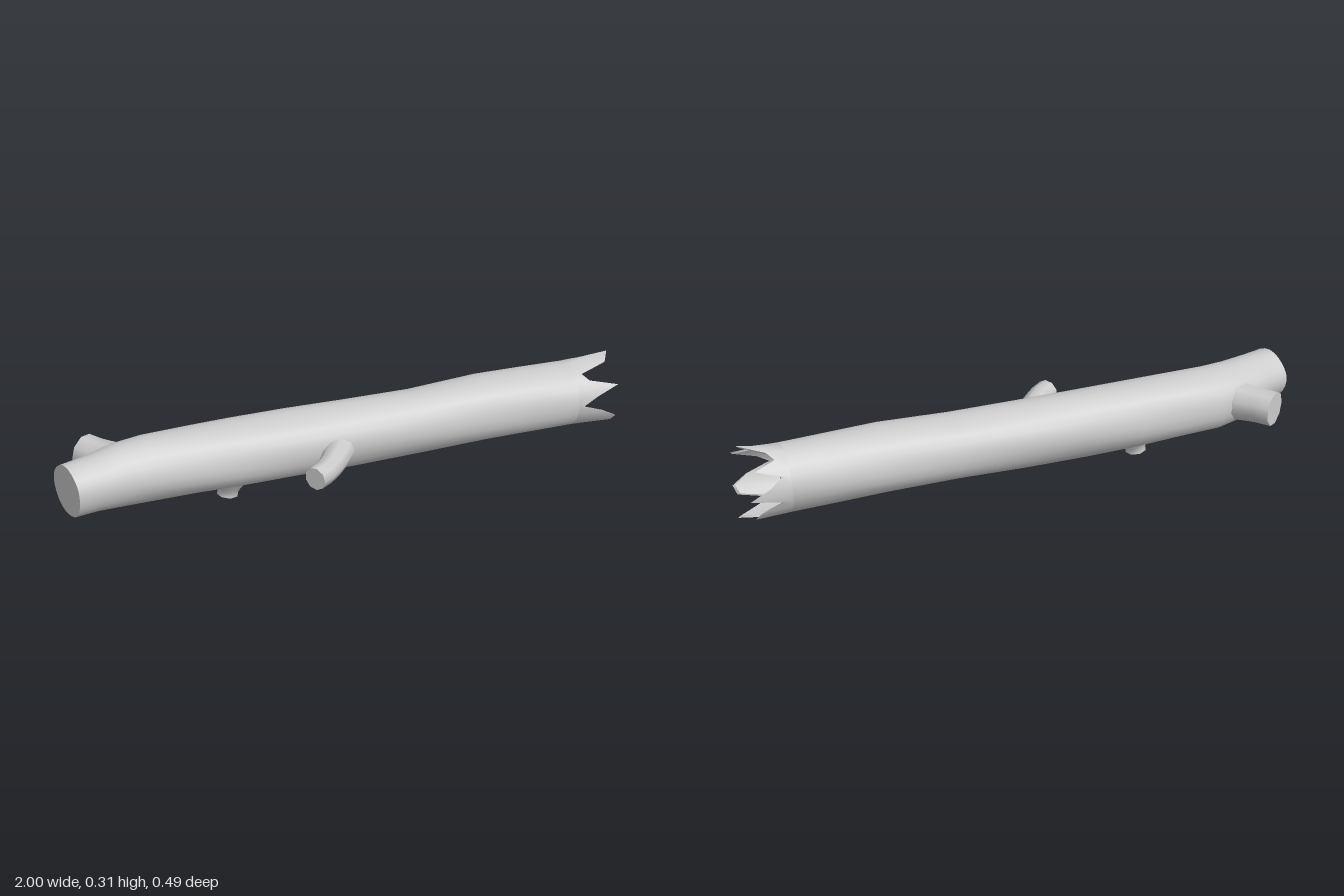
import * as THREE from 'three';

const grey = new THREE.MeshStandardMaterial({ color: 0xcccccc });
const V = (x, y, z) => new THREE.Vector3(x, y, z);

// Smooth surface through closed rings of points
function loft(rings) {
  const n = rings[0].length, index = [];
  for (let i = 0; i < rings.length - 1; i++) {
    for (let j = 0; j < n; j++) {
      const k = (j + 1) % n, a = i * n, b = a + n;
      index.push(a + j, a + k, b + k, a + j, b + k, b + j);
    }
  }
  const g = new THREE.BufferGeometry().setFromPoints(rings.flat());
  g.setIndex(index);
  g.computeVertexNormals();
  return g;
}

// Flat lid over one ring, facing along the path (or backwards when reversed)
function lid(ring, reversed) {
  const n = ring.length, index = [];
  const mid = ring.reduce((s, p) => s.add(p), V(0, 0, 0)).divideScalar(n);
  for (let j = 0; j < n; j++) {
    const k = (j + 1) % n;
    if (reversed) index.push(n, k, j);
    else index.push(n, j, k);
  }
  const g = new THREE.BufferGeometry().setFromPoints([...ring, mid]);
  g.setIndex(index);
  g.computeVertexNormals();
  return g;
}

// Rings square to a path of [x, y, z, radius] sections
function sweep(sections, sides, up, bump = 0) {
  const pts = sections.map(s => V(s[0], s[1], s[2]));
  return pts.map((c, i) => {
    const t = pts[Math.min(i + 1, pts.length - 1)].clone()
      .sub(pts[Math.max(i - 1, 0)]).normalize();
    const u = up.clone().cross(t).normalize();
    const v = t.clone().cross(u);
    return Array.from({ length: sides }, (_, j) => {
      const a = j / sides * Math.PI * 2;
      const r = sections[i][3] *
        (1 + bump * (Math.sin(3 * a + 5 * c.x) + Math.sin(5 * a - 7 * c.x)));
      return c.clone().addScaledVector(u, r * Math.cos(a)).addScaledVector(v, r * Math.sin(a));
    });
  });
}

function add(parent, name, geometry, material = grey) {
  const mesh = new THREE.Mesh(geometry, material);
  mesh.name = name;
  parent.add(mesh);
}

function addBranch(parent, name, sections, sides, up) {
  const group = new THREE.Group();
  group.name = name;
  const rings = sweep(sections, sides, up);
  add(group, name + 'Bark', loft(rings));
  add(group, name + 'Cut', lid(rings[rings.length - 1]));
  parent.add(group);
}

export function createModel() {
  const log = new THREE.Group();
  log.name = 'brokenLog';
  const up = V(0, 1, 0);

  // Trunk, bending forward at its sawn end
  const trunk = sweep([
    [-0.982, 0.17, 0.037, 0.089], [-0.9, 0.168, 0.012, 0.093],
    [-0.8, 0.162, -0.024, 0.106], [-0.7, 0.158, -0.041, 0.112],
    [-0.55, 0.157, -0.043, 0.114], [-0.4, 0.155, -0.043, 0.117],
    [-0.2, 0.157, -0.043, 0.117], [0, 0.158, -0.043, 0.116],
    [0.25, 0.16, -0.043, 0.113], [0.5, 0.168, -0.044, 0.117],
    [0.68, 0.167, -0.043, 0.116], [0.83, 0.166, -0.043, 0.115],
  ], 24, up, 0.013);
  add(log, 'trunk', loft(trunk));
  add(log, 'sawnEnd', lid(trunk[0], true));

  // Splintered end: a jagged shell of thin spikes around a recessed core
  const tips = [0.97, 0.9, 0.86, 0.94, 0.87, 0.89, 0.98, 0.96, 0.86, 0.88, 0.98, 0.9,
    0.85, 0.93, 0.98, 0.97, 0.87, 0.93, 0.99, 0.92, 0.86, 0.95, 0.93, 0.86];
  const root = trunk[trunk.length - 1];
  const centre = V(0.83, 0.166, -0.043);
  const ringAt = (x, scale) => root.map((p, j) => {
    const q = p.clone().sub(centre).multiplyScalar(scale(j)).add(centre);
    q.x = x(j);
    return q;
  });
  const flare = j => 1 + (tips[j] - 0.85) * (j === 6 ? 1.7 : 0.6);
  const rim = ringAt(j => tips[j], flare);
  const innerRim = ringAt(j => tips[j] - 0.008, j => flare(j) - 0.06);
  const core = ringAt(() => 0.825, () => 0.88);
  const splinters = new THREE.Group();
  splinters.name = 'splinteredEnd';
  const thin = grey.clone();
  thin.side = THREE.DoubleSide;
  add(splinters, 'splinterOutside', loft([root, rim]), thin);
  add(splinters, 'splinterEdge', loft([rim, innerRim]), thin);
  add(splinters, 'splinterInside', loft([innerRim, core]), thin);
  add(splinters, 'brokenCore', lid(core));
  log.add(splinters);

  // Thick fork at the back of the sawn end
  addBranch(log, 'forkStub', [
    [-0.765, 0.16, -0.06, 0.085], [-0.8, 0.16, -0.11, 0.068],
    [-0.84, 0.161, -0.16, 0.062], [-0.876, 0.162, -0.206, 0.062],
  ], 9, up);

  // Curved side branch at the front
  addBranch(log, 'sideBranch', [
    [-0.045, 0.153, 0.03, 0.056], [-0.075, 0.153, 0.085, 0.049],
    [-0.115, 0.154, 0.142, 0.043], [-0.155, 0.157, 0.185, 0.041],
    [-0.194, 0.159, 0.214, 0.04],
  ], 9, up);

  // Short knot underneath, which the log rests on
  addBranch(log, 'bottomKnot', [
    [-0.42, 0.065, -0.036, 0.062], [-0.423, 0.04, -0.036, 0.046],
    [-0.426, 0.018, -0.037, 0.037], [-0.428, 0.004, -0.037, 0.038],
  ], 8, V(1, 0, 0));

  return log;
}
